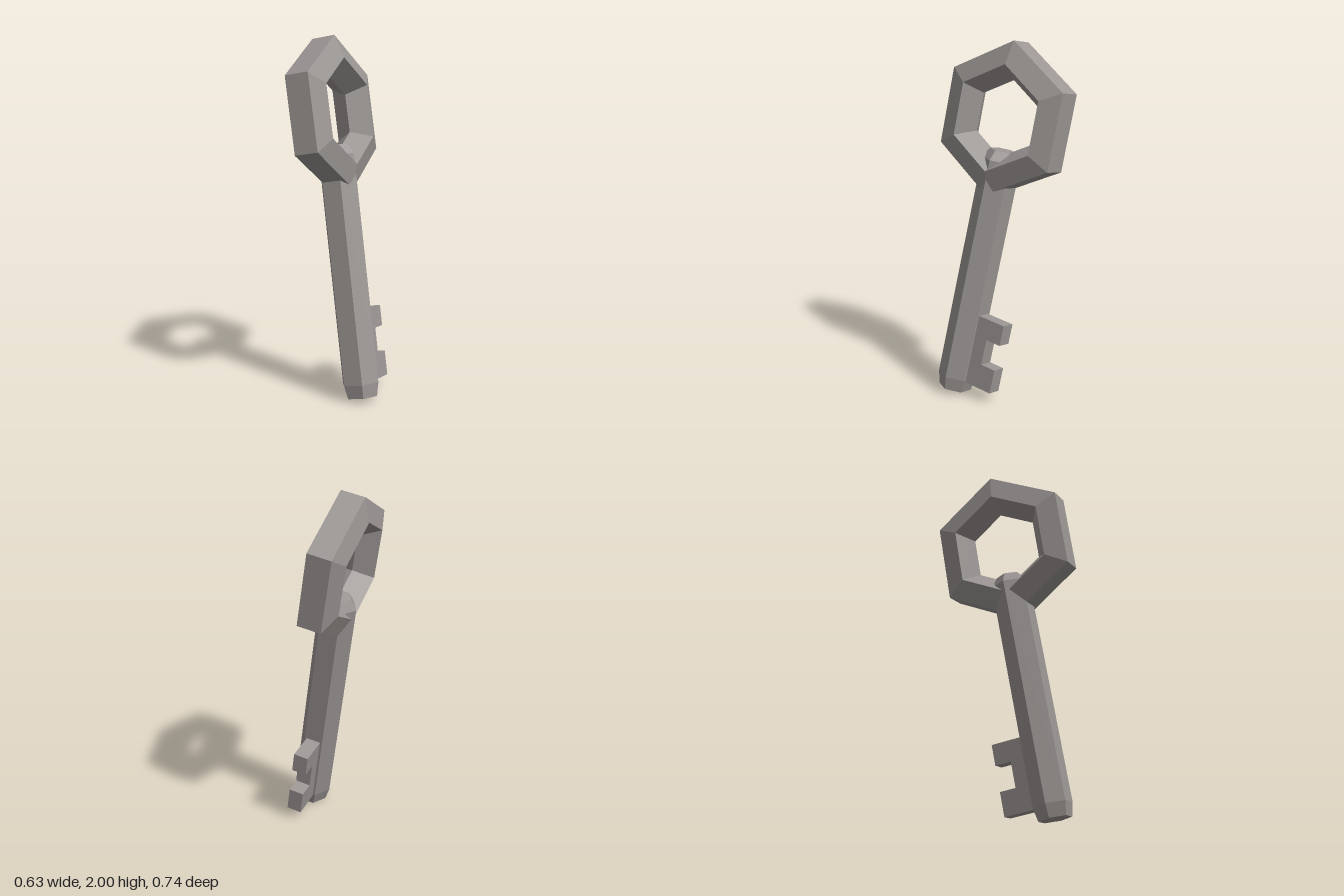
import * as THREE from 'three';

const V = (x, y, z) => new THREE.Vector3(x, y, z);

// Group whose local Y follows `up`, local Z follows `side` (made square to it)
function frame(name, position, up, side) {
  const y = up.clone().normalize();
  const x = y.clone().cross(side).normalize();
  const z = x.clone().cross(y);
  const group = new THREE.Group();
  group.name = name;
  group.quaternion.setFromRotationMatrix(new THREE.Matrix4().makeBasis(x, y, z));
  group.position.copy(position);
  return group;
}

export function createModel() {
  const iron = new THREE.MeshStandardMaterial({ color: 0x9b9694, flatShading: true });
  iron.name = 'iron';

  const add = (group, name, geometry) => {
    const mesh = new THREE.Mesh(geometry, iron);
    mesh.name = name;
    group.add(mesh);
  };
  const hexLathe = (points) =>
    new THREE.LatheGeometry(points.map(([r, y]) => new THREE.Vector2(r, y)), 6, Math.PI / 2);

  const key = new THREE.Group();
  key.name = 'key';
  const side = V(0.363, 0.094, 0.927);

  // Bow: six-sided ring with a pentagonal section, flat side outwards
  const bow = frame('bow', V(-0.075, 1.573, -0.004), V(-0.203, 0.978, -0.018), side);
  const section = [];
  for (let i = 0; i <= 5; i++) {
    const a = ((i * 72 - 36) * Math.PI) / 180;
    section.push([0.3315 + 0.1175 * Math.cos(a), 0.1175 * Math.sin(a)]);
  }
  add(bow, 'bowRing', hexLathe(section).rotateZ(-Math.PI / 2));

  // Shaft: hexagonal bar with bevelled ends
  const shaft = frame('shaftAndBit', V(0.234, 0.019, 0.056), V(-0.209, 1, -0.043), side);
  const length = 1.41;
  add(shaft, 'shaft', hexLathe([
    [0, 0], [0.093, 0], [0.11, 0.077],
    [0.11, length - 0.055], [0.073, length], [0, length],
  ]));

  // Bit: plate with two teeth, x = distance from the shaft axis
  const outline = [
    [0, 0.07], [0.27, 0.07], [0.27, 0.209], [0.176, 0.209],
    [0.176, 0.357], [0.27, 0.357], [0.27, 0.474], [0, 0.474],
  ];
  const thickness = 0.085;
  const bit = new THREE.ExtrudeGeometry(
    new THREE.Shape(outline.map(([x, y]) => new THREE.Vector2(x, y))),
    { depth: thickness, bevelEnabled: false },
  );
  add(shaft, 'bit', bit.translate(0, 0, -thickness / 2).rotateY(Math.PI / 2));

  key.add(bow, shaft);
  return key;
}
